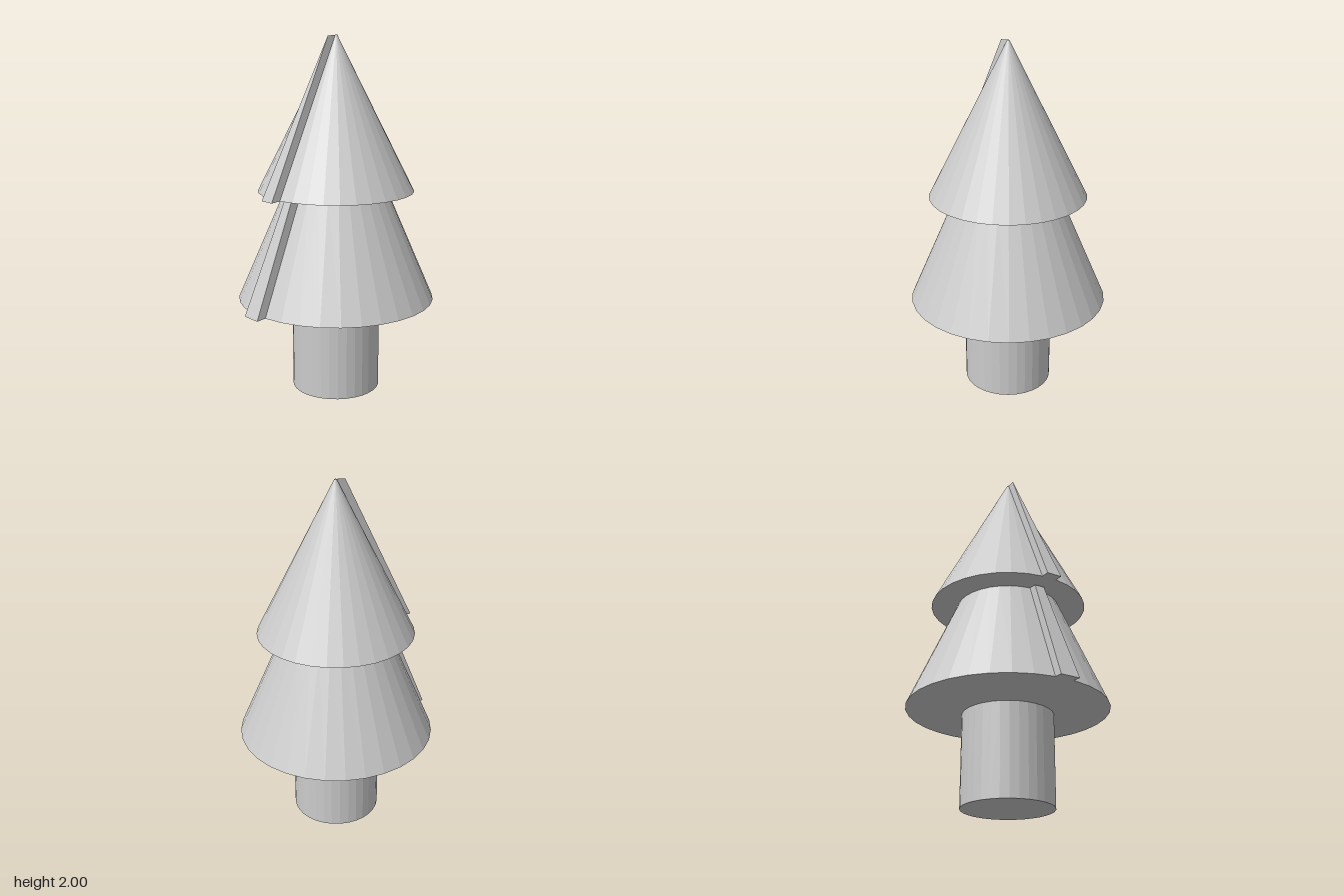
import * as THREE from 'three';
import { ConvexGeometry } from 'three/addons/geometries/ConvexGeometry.js';

const SIDES = 32;
const material = new THREE.MeshStandardMaterial({ color: 0xcccccc, flatShading: true });

function addMesh(parent, name, geometry) {
  const mesh = new THREE.Mesh(geometry, material);
  mesh.name = name;
  parent.add(mesh);
  return mesh;
}

// Faceted solid of revolution from [radius, height] pairs, bottom to top
function lathe(profile) {
  return new THREE.LatheGeometry(profile.map(([r, y]) => new THREE.Vector2(r, y)), SIDES);
}

// One facet of a tier, pulled outward into a thin raised strip
function strip(bottomRadius, bottomY, topRadius, topY) {
  const step = (2 * Math.PI) / SIDES;
  const offset = new THREE.Vector3(-0.053, -0.005, 0.004);
  const points = [];
  for (const [r, y] of [[bottomRadius, bottomY], [topRadius, topY]]) {
    for (const angle of [0, step]) {
      const p = new THREE.Vector3(-r * Math.cos(angle), y, r * Math.sin(angle));
      points.push(p, p.clone().add(offset));
    }
  }
  return new ConvexGeometry(points);
}

export function createModel() {
  const tree = new THREE.Group();
  tree.name = 'tree';

  // The strip sticks out on one side, so the axis sits slightly off centre
  const body = new THREE.Group();
  body.name = 'treeBody';
  body.position.x = 0.025;
  tree.add(body);

  // Trunk
  addMesh(body, 'trunk', new THREE.CylinderGeometry(0.25, 0.25, 0.53, SIDES)).position.y = 0.265;

  // Lower tier, with a shallow sloping underside
  addMesh(body, 'lowerBranches', lathe([[0, 0.505], [0.25, 0.505], [0.555, 0.535], [0.288, 1.15]]));
  addMesh(body, 'lowerStrip', strip(0.555, 0.535, 0.288, 1.15));

  // Upper tier, ending in a tiny blunt tip
  addMesh(body, 'upperBranches', lathe([[0, 1.15], [0.437, 1.15], [0.006, 2], [0, 2]]));
  addMesh(body, 'upperStrip', strip(0.437, 1.15, 0.006, 2));

  return tree;
}
